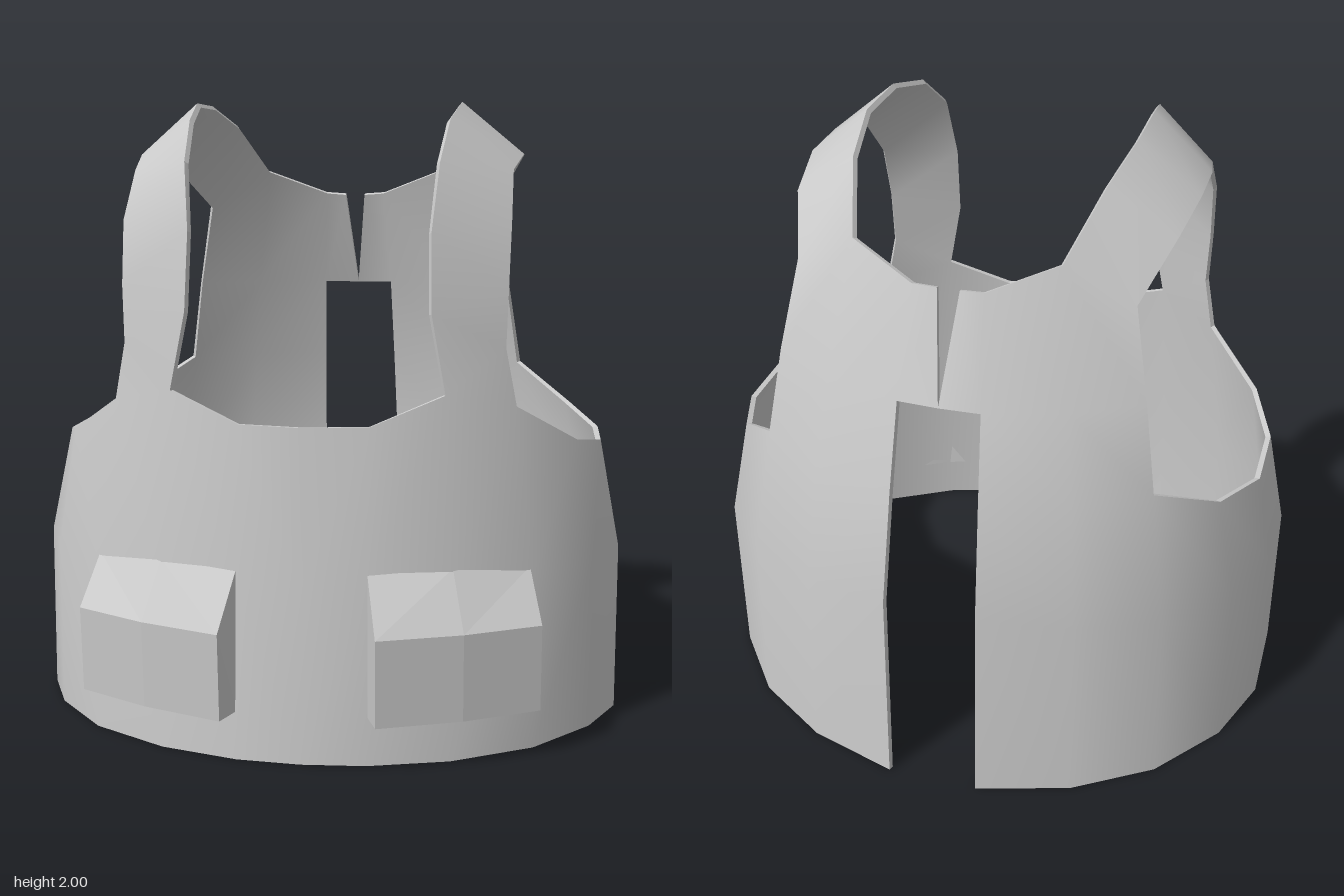
import * as THREE from 'three';
import { mergeVertices, mergeGeometries } from 'three/addons/utils/BufferGeometryUtils.js';

const material = new THREE.MeshStandardMaterial({ color: 0xcccccc, side: THREE.DoubleSide });

// Left half of the shell, as sheets of columns; each column is a list of [x, y, z] going up
const waist = [
  [[0, 0, 0.80], [0, 0.55, 0.785], [0, 1.03, 0.76]],
  [[0.20, 0, 0.785], [0.20, 0.55, 0.77], [0.20, 1.03, 0.72]],
  [[0.45, 0, 0.715], [0.45, 0.55, 0.70], [0.42, 1.12, 0.66]],
  [[0.70, 0, 0.57], [0.69, 0.55, 0.565], [0.63, 1.07, 0.52]],
  [[0.88, 0, 0.36], [0.88, 0.55, 0.355], [0.82, 0.94, 0.34]],
  [[0.97, 0, 0.16], [0.97, 0.55, 0.15], [0.905, 0.90, 0.11]],
  [[0.97, 0, -0.16], [0.97, 0.57, -0.16], [0.905, 0.90, -0.15]],
  [[0.88, 0, -0.41], [0.88, 0.60, -0.41], [0.81, 0.95, -0.385]],
  [[0.70, 0, -0.64], [0.69, 0.63, -0.635], [0.63, 1.07, -0.575]],
];
const back = [
  [[0.70, 0, -0.64], [0.69, 0.63, -0.635], [0.63, 1.07, -0.575], [0.585, 1.36, -0.53], [0.53, 1.65, -0.47]],
  [[0.45, 0, -0.80], [0.44, 0.67, -0.785], [0.41, 1.07, -0.715], [0.38, 1.36, -0.65], [0.32, 1.78, -0.53]],
  [[0.15, 0, -0.89], [0.15, 0.70, -0.865], [0.14, 1.07, -0.79], [0.13, 1.36, -0.72], [0.11, 1.70, -0.61]],
];
// Bridge above the back slot, ending at the V notch
const bridge = [back[2].slice(3), [[0, 1.36, -0.725], [0.035, 1.695, -0.605]]];
// Shoulder strap from chest to back: neck edge, then armhole edge
const strap = [
  [[0.42, 1.12, 0.66], [0.375, 1.36, 0.645], [0.37, 1.60, 0.61], [0.39, 1.81, 0.55], [0.41, 1.94, 0.38],
    [0.435, 2, 0.16], [0.435, 2, -0.08], [0.395, 1.94, -0.31], [0.32, 1.78, -0.53]],
  [[0.63, 1.07, 0.52], [0.595, 1.25, 0.53], [0.60, 1.43, 0.525], [0.605, 1.63, 0.475], [0.605, 1.785, 0.32],
    [0.635, 1.835, 0.12], [0.635, 1.835, -0.07], [0.605, 1.785, -0.27], [0.53, 1.65, -0.47]],
];

function makeGeometry(points, index) {
  const g = new THREE.BufferGeometry();
  g.setAttribute('position', new THREE.Float32BufferAttribute(points.flat(), 3));
  g.setIndex(index);
  return g;
}

// Sheet of quads between neighbouring columns; side -1 mirrors it to the right
function sheet(columns, side) {
  const rows = columns[0].length;
  const index = [];
  for (let c = 0; c + 1 < columns.length; c++) {
    for (let r = 0; r + 1 < rows; r++) {
      const a = c * rows + r, b = a + rows;
      if (side > 0) index.push(a, b, b + 1, a, b + 1, a + 1);
      else index.push(a, b + 1, b, a, a + 1, b + 1);
    }
  }
  return makeGeometry(columns.flat().map(([x, y, z]) => [x * side, y, z]), index);
}

// Gives a sheet thickness: smooth outside, smooth lining and sharp rim walls
function thicken(outer, depth) {
  outer.computeVertexNormals();
  const pos = outer.attributes.position, nor = outer.attributes.normal;
  const idx = Array.from(outer.index.array);
  const out = [], inn = [];
  for (let i = 0; i < pos.count; i++) {
    const p = new THREE.Vector3().fromBufferAttribute(pos, i);
    out.push(p.toArray());
    inn.push(p.addScaledVector(new THREE.Vector3().fromBufferAttribute(nor, i), -depth).toArray());
  }
  const lining = makeGeometry(inn, idx.slice().reverse());
  lining.computeVertexNormals();

  const edges = new Set();
  const tri = (i) => (i % 3 === 2 ? i - 2 : i + 1);
  idx.forEach((v, i) => edges.add(v + '_' + idx[tri(i)]));
  const rimPoints = [], rimIndex = [];
  idx.forEach((a, i) => {
    const b = idx[tri(i)];
    if (edges.has(b + '_' + a)) return;
    const n = rimPoints.length;
    rimPoints.push(out[a], inn[a], inn[b], out[b]);
    rimIndex.push(n, n + 1, n + 2, n, n + 2, n + 3);
  });
  const rim = makeGeometry(rimPoints, rimIndex);
  rim.computeVertexNormals();
  return mergeGeometries([outer, lining, rim]);
}

// Pouch wrapped round the front: a sloped-lid section at three stations
function pouch(side) {
  const stations = [
    { back: [0.20, 0.77], front: [0.235, 0.885], top: 0.59 },
    { back: [0.45, 0.69], front: [0.49, 0.79], top: 0.60 },
    { back: [0.68, 0.56], front: [0.72, 0.665], top: 0.58 },
  ];
  const points = stations.flatMap(({ back: b, front: f, top }) => [
    [b[0] * side, 0.15, b[1]],
    [f[0] * side, 0.15, f[1] - 0.02],
    [f[0] * side, 0.425, f[1]],
    [b[0] * side, top, b[1]],
  ]);
  const index = [0, 1, 2, 0, 2, 3, 8, 10, 9, 8, 11, 10];
  for (let s = 0; s < 2; s++) {
    for (let k = 0; k < 4; k++) {
      const a = s * 4 + k, b = s * 4 + (k + 1) % 4;
      index.push(a, a + 4, b + 4, a, b + 4, b);
    }
  }
  if (side < 0) index.reverse();
  const g = makeGeometry(points, index).toNonIndexed();
  g.computeVertexNormals();
  return g;
}

export function createModel() {
  const group = new THREE.Group();
  group.name = 'vest';
  const add = (name, geometry) => {
    const mesh = new THREE.Mesh(geometry, material);
    mesh.name = name;
    group.add(mesh);
  };

  // Shell: both halves welded into one surface, then thickened inward
  const sheets = [1, -1].flatMap((s) => [waist, back, bridge, strap].map((c) => sheet(c, s)));
  add('vestShell', thicken(mergeVertices(mergeGeometries(sheets), 1e-4), 0.018));

  add('leftPouch', pouch(1));
  add('rightPouch', pouch(-1));
  return group;
}
